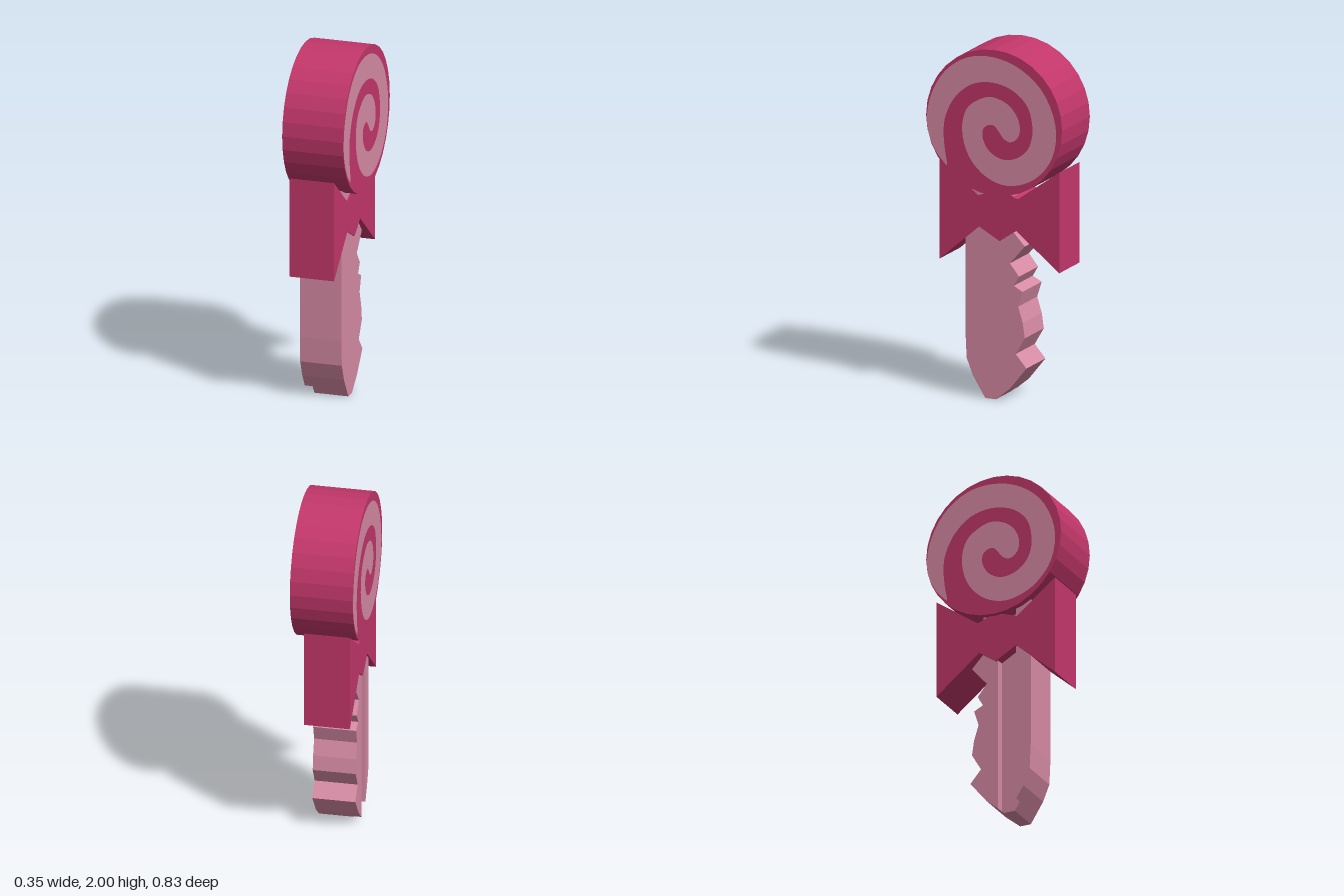
import * as THREE from 'three';

const crimson = new THREE.MeshStandardMaterial({ color: 0xc2376a });
crimson.name = 'crimson';
const pink = new THREE.MeshStandardMaterial({ color: 0xd78ba5 });
pink.name = 'pink';

const DISC_Y = 1.587, DISC_R = 0.413, DISC_HALF = 0.175;

// Outline points are [z, y]; the slab spans x0..x1
function slab(name, points, x0, x1, material) {
  const shape = new THREE.Shape(points.map(([z, y]) => new THREE.Vector2(-z, y)));
  const geometry = new THREE.ExtrudeGeometry(shape, { depth: x1 - x0, bevelEnabled: false });
  geometry.rotateY(Math.PI / 2).translate(x0, 0, 0);
  const mesh = new THREE.Mesh(geometry, material);
  mesh.name = name;
  return mesh;
}

// Spiral band, in hundredths of the disc radius from its centre
const SPIRAL = [
  [-69, -66], [-74, -62], [-87, -46], [-98, -17], [-94, 24], [-72, 63], [-40, 85], [-3, 90],
  [37, 79], [72, 50], [91, 3], [85, -40], [63, -68], [38, -81], [14, -84], [-14, -74],
  [-37, -50], [-47, -14], [-40, 15], [-23, 29], [-4, 35], [21, 27], [35, 10], [38, -8],
  [33, -19], [23, -24], [14, -20], [6, -10], [0, -4], [-8, -4], [-15, -9], [-17, -20],
  [-10, -36], [1, -45], [15, -49], [33, -45], [49, -32], [56, -13], [56, 5], [49, 28],
  [28, 47], [-3, 55], [-33, 49], [-58, 28], [-72, -1], [-74, -23], [-72, -46],
];

function spiralFace(name) {
  const curve = new THREE.CatmullRomCurve3(
    SPIRAL.map(([u, v]) => new THREE.Vector3(u, v, 0).multiplyScalar(DISC_R / 100)), true);
  const shape = new THREE.Shape(curve.getPoints(180).slice(0, -1).map(p => new THREE.Vector2(p.x, p.y)));
  const geometry = new THREE.ShapeGeometry(shape);
  geometry.rotateY(Math.PI / 2).translate(DISC_HALF + 0.002, DISC_Y, 0);
  const mesh = new THREE.Mesh(geometry, pink);
  mesh.name = name;
  return mesh;
}

export function createModel() {
  const model = new THREE.Group();
  model.name = 'candyKey';

  // Faceted round head
  const discGeometry = new THREE.CylinderGeometry(DISC_R, DISC_R, DISC_HALF * 2, 32).toNonIndexed();
  discGeometry.rotateZ(Math.PI / 2).translate(0, DISC_Y, 0);
  discGeometry.computeVertexNormals();
  const disc = new THREE.Mesh(discGeometry, crimson);
  disc.name = 'candyHead';
  model.add(disc);

  // Swirl on both faces
  const leftSwirl = spiralFace('leftSwirl');
  const rightSwirl = spiralFace('rightSwirl');
  rightSwirl.rotation.y = Math.PI;
  model.add(leftSwirl, rightSwirl);

  // Bow below the head
  model.add(slab('bow', [
    [0.363, 1.33], [0.363, 0.76], [0.125, 0.97], [0, 0.9], [-0.1, 0.97], [-0.363, 0.76],
    [-0.363, 1.33], [-0.11, 1.15], [-0.03, 1.18], [0.03, 1.18], [0.13, 1.145],
  ], -0.15, 0.107, crimson));

  // Key blade: a full slab, with two thinner slabs leaving a groove on one side
  const back = [[0.21, 1.3], [0.21, 0.36], [0.203, 0.215], [0.165, 0.12]];
  const teeth = [
    [-0.06, 0.07], [-0.16, 0.195], [-0.095, 0.27], [-0.15, 0.365], [-0.138, 0.45],
    [-0.11, 0.54], [-0.137, 0.627], [-0.083, 0.655], [-0.115, 0.71], [-0.06, 0.78],
    [-0.15, 0.885], [-0.08, 0.96], [-0.08, 1.3],
  ];
  const blade = new THREE.Group();
  blade.name = 'keyBlade';
  blade.add(
    slab('bladeCore', [...back, [0.09, 0], [0.025, 0], ...teeth], -0.095, 0.1, pink),
    slab('bladeBackRidge', [...back, [0.12, 0.048], [0.12, 1.3]], -0.14, -0.095, pink),
    slab('bladeToothRidge', [[0.01, 1.3], [0.01, 0.012], ...teeth], -0.14, -0.095, pink),
  );
  model.add(blade);

  return model;
}
